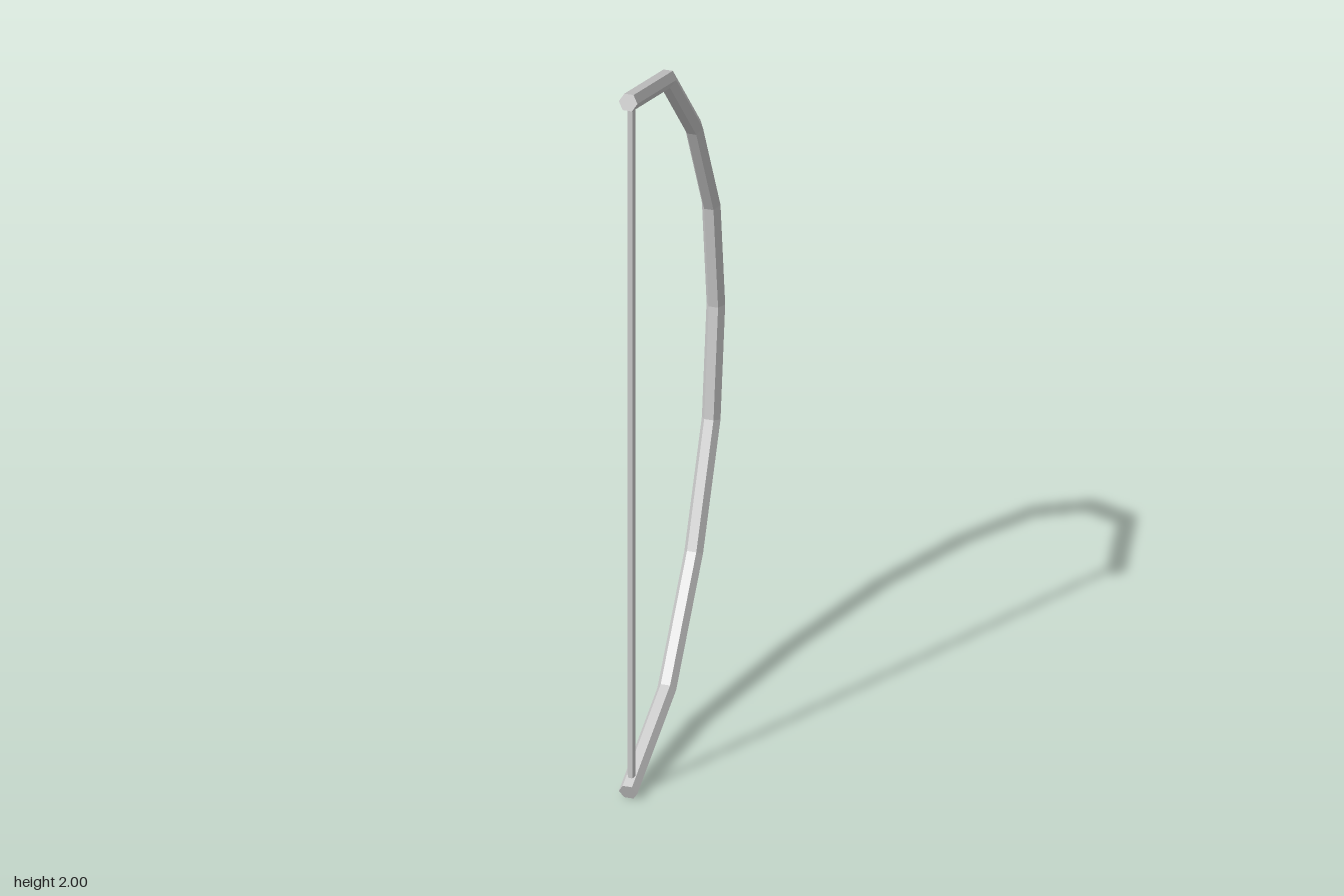
import * as THREE from 'three';

const material = new THREE.MeshStandardMaterial({ color: 0xcccccc, flatShading: true });

// Hexagonal rod bent along a path of [z, y] points, with mitred joints
function bentRod(path, radius) {
  const pts = path.map(([z, y]) => new THREE.Vector3(0, y, z));
  const last = pts.length - 1;
  const dir = (i) => pts[i + 1].clone().sub(pts[i]).normalize();
  const frames = pts.map((p, i) => {
    const a = dir(Math.max(i - 1, 0));
    const b = dir(Math.min(i, last - 1));
    const t = a.clone().add(b).normalize();
    const mitre = 1 / t.dot(a);
    return { p, normal: new THREE.Vector3(0, -t.z, t.y).multiplyScalar(mitre) };
  });
  const geometry = new THREE.CylinderGeometry(radius, radius, last, 6, last).rotateY(Math.PI / 6);
  const pos = geometry.attributes.position;
  for (let i = 0; i < pos.count; i++) {
    const { p, normal } = frames[Math.round(pos.getY(i) + last / 2)];
    const z = pos.getZ(i);
    pos.setXYZ(i, pos.getX(i), p.y + normal.y * z, p.z + normal.z * z);
  }
  const flat = geometry.toNonIndexed();
  flat.computeVertexNormals();
  return flat;
}

export function createModel() {
  const group = new THREE.Group();
  group.name = 'bow';

  // Curved stave: upper limb points, mirrored about y = 1 for the lower limb
  const upper = [[-0.37, 1], [-0.33, 1.305], [-0.18, 1.605], [0.05, 1.867], [0.381, 1.98]];
  const lower = upper.slice(1).reverse().map(([z, y]) => [z, 2 - y]);
  const stave = new THREE.Mesh(bentRod([...lower, ...upper], 0.024), material);
  stave.name = 'stave';
  group.add(stave);

  // Straight string between the limb tips
  const string = new THREE.Mesh(bentRod([[0.352, 0.03], [0.352, 1.97]], 0.01), material);
  string.name = 'string';
  group.add(string);

  return group;
}
